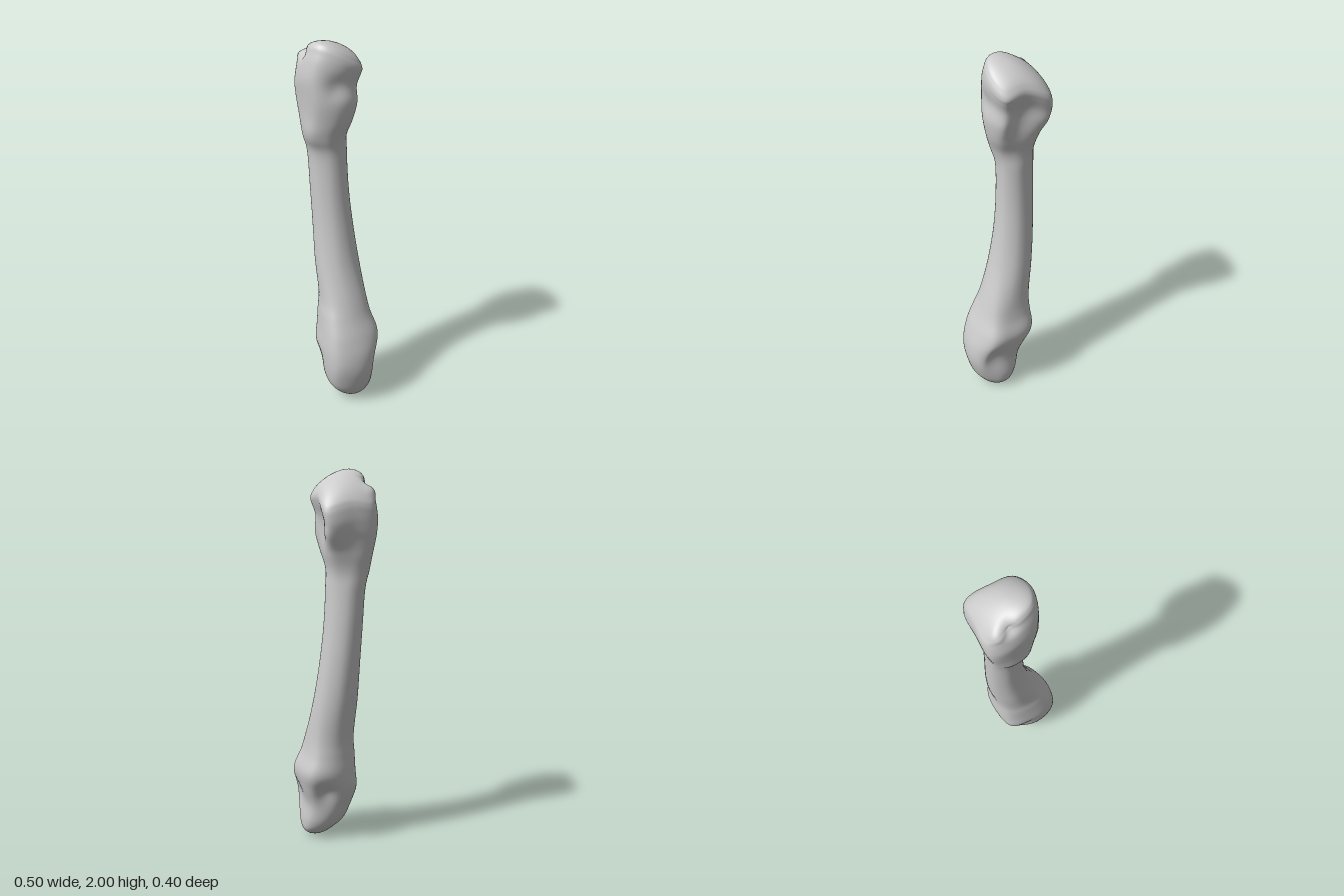
import * as THREE from 'three';
import { mergeVertices } from 'three/addons/utils/BufferGeometryUtils.js';

const AROUND = 64, ROWS = 130;

// Closed outline (x, z), scaled to fill the square -1..1
function outline(points) {
  const curve = new THREE.CatmullRomCurve3(points.map(([x, z]) => new THREE.Vector3(x, 0, z)), true, 'centripetal');
  const pts = [];
  for (let i = 0; i < AROUND; i++) pts.push(curve.getPoint(i / AROUND));
  const box = new THREE.Box3().setFromPoints(pts);
  const mid = box.getCenter(new THREE.Vector3()), size = box.getSize(new THREE.Vector3());
  return pts.map(p => [2 * (p.x - mid.x) / size.x, 2 * (p.z - mid.z) / size.z]);
}

const baseOutline = outline([[0.10, -0.04], [0.07, 0.09], [-0.03, 0.165], [-0.18, 0.115],
  [-0.25, 0.03], [-0.19, -0.09], [-0.10, -0.20], [0.01, -0.115]]);
const condyleOutline = outline([[0.25, -0.04], [0.225, 0.10], [0.13, 0.20], [-0.02, 0.15],
  [-0.12, 0.05], [-0.08, -0.09], [0.02, -0.165], [0.16, -0.115]]);
const roundOutline = outline([0, 1, 2, 3, 4, 5, 6, 7].map(i => [Math.cos(i * Math.PI / 4), Math.sin(i * Math.PI / 4)]));

// Extents up the bone: y, xMin, xMax, zMin, zMax
const sections = [
  [0.0, 0.115, 0.115, 0.02, 0.02],
  [0.012, 0.07, 0.16, -0.045, 0.075],
  [0.045, 0.025, 0.19, -0.085, 0.125],
  [0.10, -0.03, 0.218, -0.10, 0.168],
  [0.20, -0.085, 0.247, -0.105, 0.195],
  [0.30, -0.118, 0.25, -0.142, 0.20],
  [0.40, -0.12, 0.225, -0.17, 0.188],
  [0.50, -0.118, 0.183, -0.148, 0.163],
  [0.60, -0.12, 0.152, -0.135, 0.135],
  [0.80, -0.145, 0.09, -0.13, 0.108],
  [1.0, -0.165, 0.052, -0.12, 0.09],
  [1.2, -0.18, 0.03, -0.108, 0.085],
  [1.4, -0.192, 0.024, -0.10, 0.09],
  [1.5, -0.205, 0.034, -0.105, 0.122],
  [1.6, -0.228, 0.072, -0.138, 0.137],
  [1.72, -0.247, 0.092, -0.18, 0.15],
  [1.82, -0.254, 0.083, -0.194, 0.155],
  [1.90, -0.253, 0.095, -0.2, 0.145],
  [1.95, -0.248, 0.102, -0.197, 0.13],
  [1.98, -0.235, 0.092, -0.18, 0.118],
  [1.997, -0.19, 0.06, -0.13, 0.09],
  [2.0, -0.06, -0.06, 0.0, 0.0],
];

// Local hollows (negative) and swellings: x, y, z, radius, amount
const dents = [
  [0.23, 0.25, -0.07, 0.08, -0.03],    // pit on the inner side of the condyle
  [-0.05, 0.27, -0.12, 0.07, -0.035],  // groove between the rear tubercles
  [-0.07, 0.22, 0.13, 0.07, -0.02],    // hollow on the outer front
  [-0.165, 1.93, 0.07, 0.035, -0.035], // notch beside the joint face
  [-0.215, 1.91, 0.04, 0.04, 0.015],   // knob outside the notch
  [0.06, 1.78, 0.10, 0.06, -0.015],    // hollow under the front lip
  [0.03, 1.72, -0.13, 0.08, -0.025],   // groove on the inner back
  [-0.09, 1.54, 0.12, 0.06, 0.008],    // front roughening
];

function createBone() {
  const xs = new THREE.CatmullRomCurve3(sections.map(s => new THREE.Vector3(s[1], s[0], s[2])), false, 'catmullrom');
  const zs = new THREE.CatmullRomCurve3(sections.map(s => new THREE.Vector3(s[3], s[0], s[4])), false, 'catmullrom');
  const positions = [], index = [], p = new THREE.Vector3();

  for (let r = 0; r <= ROWS; r++) {
    const a = xs.getPoint(r / ROWS), b = zs.getPoint(r / ROWS), y = a.y;
    const base = THREE.MathUtils.smoothstep(y, 1.4, 1.72);
    const condyle = THREE.MathUtils.smoothstep(y, 0.0, 0.28) * (1 - THREE.MathUtils.smoothstep(y, 0.4, 0.85));
    for (let i = 0; i < AROUND; i++) {
      const mix = k => baseOutline[i][k] * base + condyleOutline[i][k] * condyle + roundOutline[i][k] * (1 - base - condyle);
      p.set((a.x + a.z) / 2 + mix(0) * (a.z - a.x) / 2, y, (b.x + b.z) / 2 + mix(1) * (b.z - b.x) / 2);
      // The upper joint face is domed and slopes down to the back
      if (y > 1.6) {
        const top = 2.005 - 3.2 * (p.x + 0.05) ** 2 - 1.7 * (0.1 - p.z) ** 2;
        p.y = 1.6 + (y - 1.6) * (top - 1.6) / 0.4;
      }
      positions.push(p.x, p.y, p.z);
    }
  }
  for (let r = 0; r < ROWS; r++) {
    for (let i = 0; i < AROUND; i++) {
      const j = (i + 1) % AROUND, a = r * AROUND + i, b = r * AROUND + j;
      index.push(a, a + AROUND, b, b, a + AROUND, b + AROUND);
    }
  }
  let geometry = new THREE.BufferGeometry();
  geometry.setAttribute('position', new THREE.Float32BufferAttribute(positions, 3));
  geometry.setIndex(index);
  geometry = mergeVertices(geometry, 1e-5);
  geometry.computeVertexNormals();

  // Push the surface along its normals at each dent
  const pos = geometry.attributes.position, n = new THREE.Vector3(), c = new THREE.Vector3();
  for (let v = 0; v < pos.count; v++) {
    p.fromBufferAttribute(pos, v);
    n.fromBufferAttribute(geometry.attributes.normal, v);
    let push = 0;
    for (const [x, y, z, radius, amount] of dents) {
      push += amount * Math.exp(-p.distanceToSquared(c.set(x, y, z)) / (radius * radius));
    }
    p.addScaledVector(n, push);
    pos.setXYZ(v, p.x, Math.max(0, p.y), p.z);
  }
  geometry.computeVertexNormals();
  return geometry;
}

export function createModel() {
  const group = new THREE.Group();
  group.name = 'longBone';
  const bone = new THREE.Mesh(createBone(), new THREE.MeshStandardMaterial({ color: 0xcccccc }));
  bone.name = 'bone';
  group.add(bone);
  return group;
}
